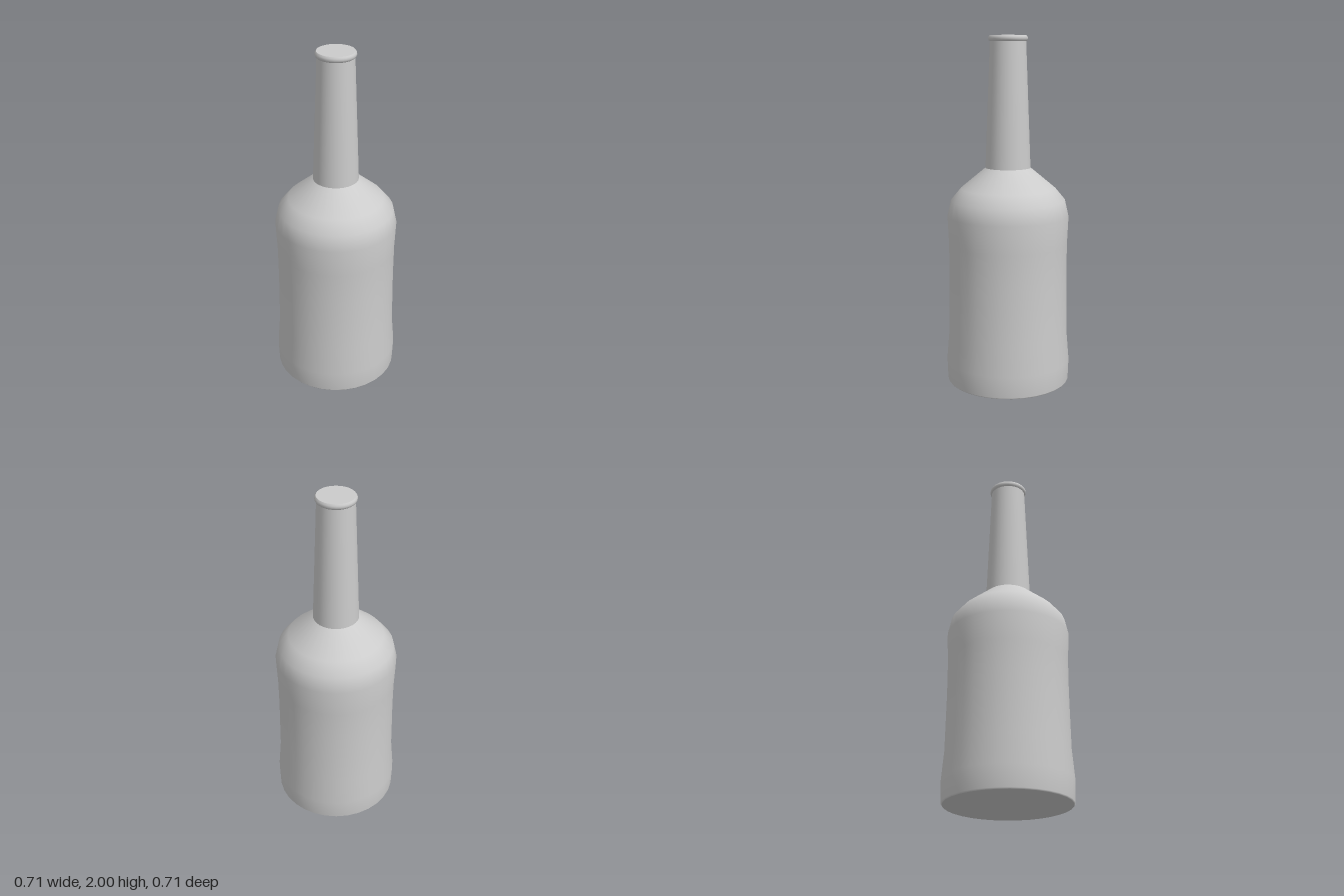
import * as THREE from 'three';

const SIDES = 32;

export function createModel() {
  const group = new THREE.Group();
  group.name = 'bottle';
  const material = new THREE.MeshStandardMaterial({ color: 0xcccccc });

  // One smooth turned section; separate sections meet at sharp edges
  const turn = (name, profile) => {
    const points = profile.map(([r, y]) => new THREE.Vector2(r, y));
    const mesh = new THREE.Mesh(new THREE.LatheGeometry(points, SIDES), material);
    mesh.name = name;
    group.add(mesh);
  };

  // Shallow pointed underside
  turn('base', [[0, 0], [0.1, 0.02], [0.22, 0.027], [0.345, 0.033]]);

  // Flared foot, slightly waisted wall and rounded shoulder
  turn('body', [
    [0.345, 0.033], [0.351, 0.04], [0.355, 0.16], [0.341, 0.325], [0.336, 0.65],
    [0.337, 0.84], [0.344, 1.0], [0.324, 1.088], [0.268, 1.155], [0.127, 1.272],
  ]);

  turn('neck', [[0.127, 1.272], [0.1, 1.968]]);

  // Rolled rim
  turn('lip', [[0.1, 1.968], [0.106, 1.973], [0.109, 1.982], [0.108, 1.992], [0.102, 2.0]]);

  // Closed mouth
  turn('cap', [[0.102, 2.0], [0, 2.0]]);

  return group;
}
